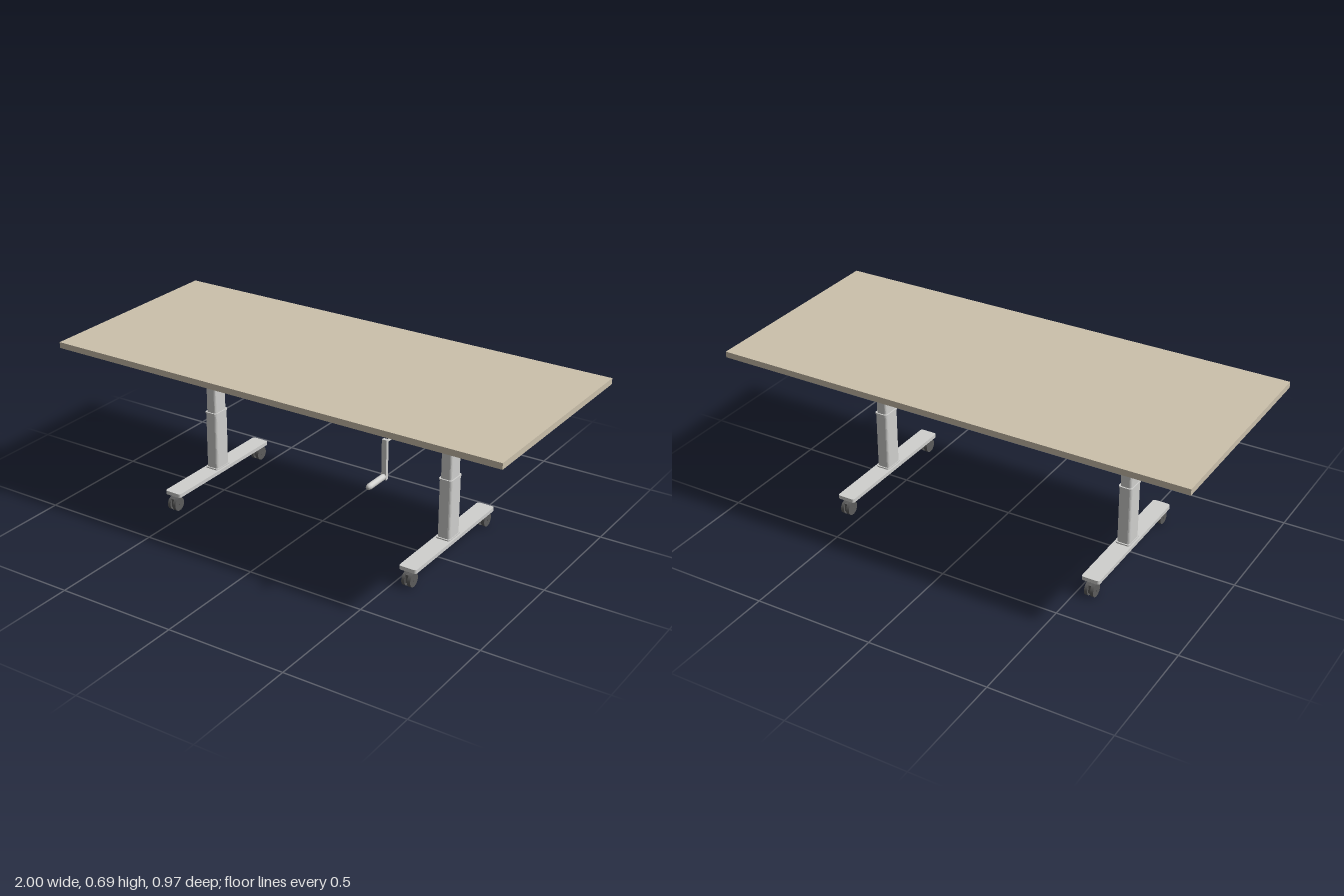
import * as THREE from 'three';

const material = (name, color) => {
  const m = new THREE.MeshStandardMaterial({ color });
  m.name = name;
  return m;
};

const LEG_X = 0.56, LEG_Z = -0.04;

export function createModel() {
  const wood = material('beige laminate', 0xccc1ac);
  const metal = material('light grey metal', 0xd0d0ce);
  const dark = material('dark grey rubber', 0x5c5c5c);

  const model = new THREE.Group();
  model.name = 'adjustableTable';

  const add = (parent, name, geometry, mat, x = 0, y = 0, z = 0) => {
    const mesh = new THREE.Mesh(geometry, mat);
    mesh.name = name;
    mesh.position.set(x, y, z);
    parent.add(mesh);
    return mesh;
  };
  const box = (parent, name, mat, [x0, x1], [y0, y1], [z0, z1]) =>
    add(parent, name, new THREE.BoxGeometry(x1 - x0, y1 - y0, z1 - z0), mat,
      (x0 + x1) / 2, (y0 + y1) / 2, (z0 + z1) / 2);

  // Upright prism with rounded corners, from y0 to y1
  const prism = (parent, name, w, d, r, y0, y1, x = 0, z = 0) => {
    const s = new THREE.Shape(), a = w / 2, b = d / 2;
    s.moveTo(-a + r, -b).lineTo(a - r, -b).quadraticCurveTo(a, -b, a, -b + r);
    s.lineTo(a, b - r).quadraticCurveTo(a, b, a - r, b);
    s.lineTo(-a + r, b).quadraticCurveTo(-a, b, -a, b - r);
    s.lineTo(-a, -b + r).quadraticCurveTo(-a, -b, -a + r, -b);
    const g = new THREE.ExtrudeGeometry(s, { depth: y1 - y0, bevelEnabled: false, curveSegments: 5 });
    g.rotateX(-Math.PI / 2);
    return add(parent, name, g, metal, x, y0, z);
  };

  // Box that narrows towards its bottom face
  const taper = (parent, name, top, bottom, y0, y1, x, z) => {
    const g = new THREE.BoxGeometry(top[0], y1 - y0, top[1]);
    const p = g.attributes.position;
    for (let i = 0; i < p.count; i++) {
      if (p.getY(i) < 0) {
        p.setX(i, p.getX(i) * bottom[0] / top[0]);
        p.setZ(i, p.getZ(i) * bottom[1] / top[1]);
      }
    }
    g.computeVertexNormals();
    return add(parent, name, g, metal, x, (y0 + y1) / 2, z);
  };

  const rodX = (r, length, sides = 20) => new THREE.CylinderGeometry(r, r, length, sides).rotateZ(Math.PI / 2);
  const rodZ = (r, length, sides = 20) => new THREE.CylinderGeometry(r, r, length, sides).rotateX(Math.PI / 2);

  box(model, 'tableTop', wood, [-1, 1], [0.67, 0.695], [-0.485, 0.402]);

  // Side profile of the support arm, drawn in z and y
  const armShape = new THREE.Shape([
    [-0.35, 0.67], [-0.35, 0.641], [-0.14, 0.61], [0.06, 0.61], [0.267, 0.641], [0.267, 0.67],
  ].map(([z, y]) => new THREE.Vector2(-z, y)));

  for (const side of [-1, 1]) {
    const leg = new THREE.Group();
    leg.name = side > 0 ? 'leftLeg' : 'rightLeg';
    leg.position.set(side * LEG_X, 0, 0);
    model.add(leg);

    // Foot and telescoping column
    prism(leg, 'foot', 0.076, 0.62, 0.012, 0.07, 0.086, 0, LEG_Z);
    prism(leg, 'columnBase', 0.062, 0.094, 0.012, 0.085, 0.091, 0, LEG_Z);
    prism(leg, 'lowerColumn', 0.056, 0.082, 0.014, 0.086, 0.34, 0, LEG_Z);
    prism(leg, 'lowerCollar', 0.059, 0.087, 0.014, 0.337, 0.343, 0, LEG_Z);
    prism(leg, 'middleColumn', 0.048, 0.075, 0.012, 0.34, 0.498, 0, LEG_Z);
    prism(leg, 'middleCollar', 0.051, 0.079, 0.012, 0.496, 0.501, 0, LEG_Z);
    prism(leg, 'upperColumn', 0.04, 0.068, 0.01, 0.5, 0.612, 0, LEG_Z);

    // Bracket that spreads from the column to the arm
    taper(leg, 'columnCap', [0.075, 0.082], [0.06, 0.068], 0.596, 0.612, 0, LEG_Z);
    box(leg, 'bracketBlock', metal, [-0.052, 0.052], [0.612, 0.632], [-0.085, 0.005]);
    taper(leg, 'bracket', [0.16, 0.14], [0.085, 0.09], 0.63, 0.666, 0, LEG_Z);
    box(leg, 'bracketPlate', metal, [-0.085, 0.085], [0.665, 0.67], [-0.11, 0.03]);

    // Thin support arm on the outer side
    const armGeometry = new THREE.ExtrudeGeometry(armShape, { depth: 0.005, bevelEnabled: false });
    armGeometry.translate(0, 0, -0.0025).rotateY(Math.PI / 2);
    add(leg, 'supportArm', armGeometry, metal, side * 0.084, 0, 0);

    // Gearbox on the inner side
    box(leg, 'gearbox', metal, side > 0 ? [-0.06, -0.015] : [0.015, 0.06], [0.556, 0.6], [-0.062, -0.018]);

    // Twin wheel casters
    for (const [wheelZ, stemZ] of [[0.25, 0.232], [-0.331, -0.313]]) {
      const caster = new THREE.Group();
      caster.name = 'caster';
      leg.add(caster);
      box(caster, 'casterPlate', metal, [-0.017, 0.017], [0.065, 0.07], [stemZ - 0.017, stemZ + 0.017]);
      add(caster, 'stem', new THREE.CylinderGeometry(0.007, 0.007, 0.035, 16), dark, 0, 0.05, stemZ);
      box(caster, 'casterBody', dark, [-0.006, 0.006], [0.02, 0.055], [wheelZ - 0.02, wheelZ + 0.02]);
      for (const x of [-0.0125, 0.0125]) add(caster, 'wheel', rodX(0.029, 0.014, 28), dark, x, 0.03, wheelZ);
      add(caster, 'axle', rodX(0.005, 0.042, 12), dark, 0, 0.03, wheelZ);
    }
  }

  // Crossbeam and drive rod between the legs
  box(model, 'crossbeam', metal, [-0.51, 0.51], [0.615, 0.666], [-0.09, 0.01]);
  add(model, 'driveRod', rodX(0.006, 1.02), metal, 0, 0.577, LEG_Z);

  // Hand crank
  const crank = new THREE.Group();
  crank.name = 'crank';
  crank.position.x = 0.514;
  model.add(crank);
  add(crank, 'crankShaft', rodZ(0.005, 0.365), metal, 0, 0.634, 0.1825);
  box(crank, 'crankArm', metal, [-0.01, 0.01], [0.487, 0.646], [0.363, 0.377]);
  const grip = new THREE.LatheGeometry([
    [0, 0], [0.011, 0], [0.012, 0.01], [0.012, 0.095], [0.009, 0.106], [0, 0.108],
  ].map(([r, y]) => new THREE.Vector2(r, y)), 20).rotateX(Math.PI / 2);
  add(crank, 'crankHandle', grip, metal, 0, 0.5, 0.377);

  return model;
}
